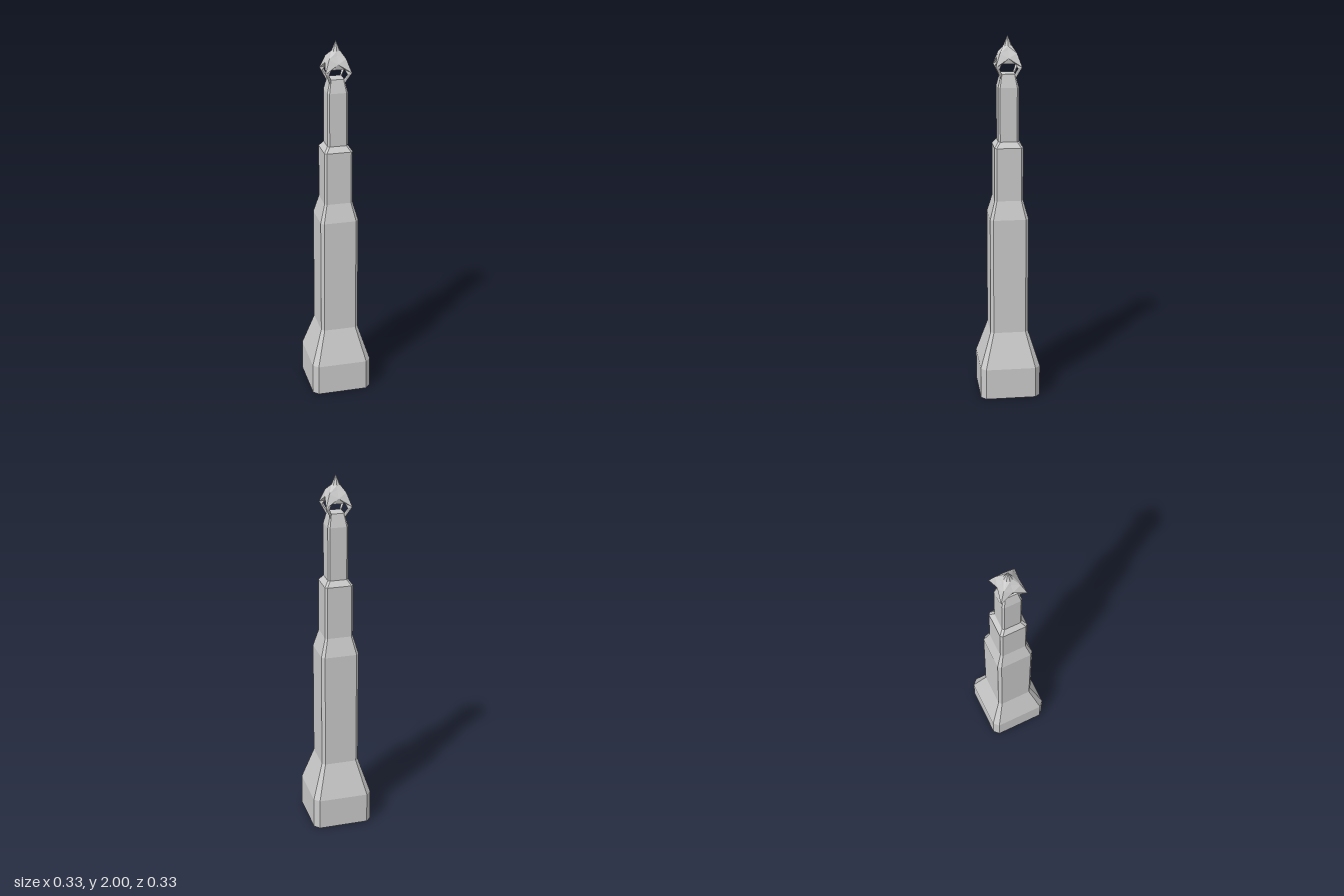
import * as THREE from 'three';

const material = new THREE.MeshStandardMaterial({ color: 0xcccccc, flatShading: true });
const thinMaterial = new THREE.MeshStandardMaterial({ color: 0xcccccc, flatShading: true, side: THREE.DoubleSide });

function meshFromTriangles(name, triangles, mat) {
  const geometry = new THREE.BufferGeometry();
  geometry.setAttribute('position', new THREE.Float32BufferAttribute(triangles.flat(2), 3));
  geometry.computeVertexNormals();
  const mesh = new THREE.Mesh(geometry, mat);
  mesh.name = name;
  return mesh;
}

// Square cross-section with cut corners: h is the half width, f the half length of the flat
const cutSquare = ([y, h, f]) =>
  [[h, -f], [h, f], [f, h], [-f, h], [-h, f], [-h, -f], [-f, -h], [f, -h]].map(([x, z]) => [x, y, z]);

// Skin a stack of cross-sections and cap both ends
function loft(name, sections) {
  const rings = sections.map(cutSquare);
  const triangles = [];
  const last = rings.length - 1;
  for (let i = 0; i < 8; i++) {
    const j = (i + 1) % 8;
    for (let r = 0; r < last; r++) {
      const a = rings[r], b = rings[r + 1];
      triangles.push([a[i], b[i], b[j]], [a[i], b[j], a[j]]);
    }
    triangles.push([[0, sections[0][0], 0], rings[0][i], rings[0][j]]);
    triangles.push([[0, sections[last][0], 0], rings[last][j], rings[last][i]]);
  }
  return meshFromTriangles(name, triangles, material);
}

// Repeat the faces of one eighth around the axis, with mirroring
function eightfold(name, faces) {
  const triangles = [];
  for (const face of faces) {
    for (let i = 1; i < face.length - 1; i++) {
      const tri = [face[0], face[i], face[i + 1]];
      const mirrored = tri.map(([x, y, z]) => [-x, y, z]).reverse();
      for (let start of [tri, mirrored]) {
        for (let k = 0; k < 4; k++) {
          triangles.push(start);
          start = start.map(([x, y, z]) => [z, y, -x]);
        }
      }
    }
  }
  return meshFromTriangles(name, triangles, thinMaterial);
}

const onDiagonal = ([x, y, z]) => [(x + z) / 2, y, (x + z) / 2];

export function createModel() {
  const group = new THREE.Group();
  group.name = 'tower';

  // Stepped shaft, foot to upper stage
  group.add(loft('base', [[0, 0.165, 0.137], [0.175, 0.165, 0.137], [0.37, 0.104, 0.088]]));
  group.add(loft('lowerShaft', [[0.37, 0.104, 0.088], [1.02, 0.104, 0.088], [1.12, 0.077, 0.066]]));
  group.add(loft('middleShaft', [[1.12, 0.077, 0.066], [1.41, 0.077, 0.066], [1.44, 0.055, 0.045]]));
  group.add(loft('upperShaft', [[1.44, 0.055, 0.045], [1.73, 0.055, 0.045], [1.8, 0.038, 0.033]]));

  // Key points of the lantern in the front right eighth
  const neck = [0, 1.945, 0.023], neckCorner = [0.016, 1.945, 0.016];
  const brow = [0, 1.925, 0.033], shoulder = [0.045, 1.91, 0.045];
  const peak = [0, 1.885, 0.057], tip = [0.07, 1.84, 0.07];
  const lintel = [0, 1.855, 0.05], head = [0.035, 1.855, 0.05];
  const jamb = [0.048, 1.832, 0.06];
  const sill = [0.033, 1.798, 0.038], foot = [0.038, 1.775, 0.038];

  // Hood with a ridge over each opening
  group.add(eightfold('lanternHood', [
    [neck, brow, shoulder, neckCorner],
    [brow, peak, shoulder],
    [peak, tip, shoulder],
    [peak, head, tip],
    [peak, lintel, head],
  ]));

  // Bent corner struts that carry the hood
  group.add(eightfold('lanternStruts', [
    [head, jamb, tip],
    [jamb, sill, foot, tip],
    [head, onDiagonal(head), onDiagonal(jamb), jamb],
    [jamb, onDiagonal(jamb), onDiagonal(sill), sill],
  ]));

  // Pointed finial
  const spire = new THREE.Mesh(new THREE.ConeGeometry(0.023, 0.055, 8), material);
  spire.name = 'spire';
  spire.position.y = 1.9725;
  group.add(spire);

  return group;
}
